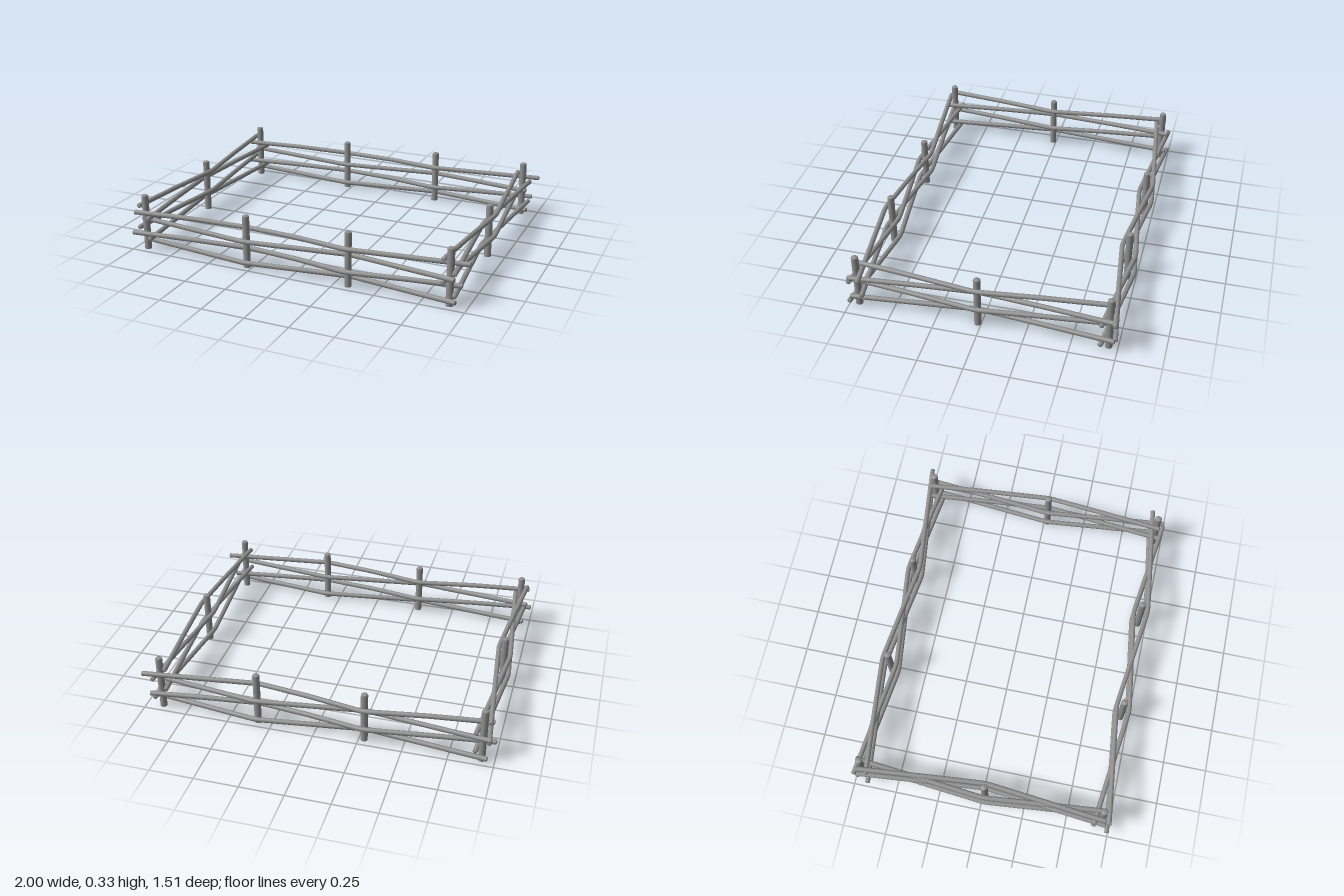
import * as THREE from 'three';
import { mergeGeometries } from 'three/addons/utils/BufferGeometryUtils.js';

const material = new THREE.MeshStandardMaterial({ color: 0x909090 });
const POST_R = 0.02, RAIL_R = 0.014;
const V = (x, y, z) => new THREE.Vector3(x, y, z);

// Upright round stake with a slightly softened top
function makePost(name, x, z, h) {
  const profile = [[0, 0], [POST_R, 0], [POST_R, 0], [POST_R, h - 0.008], [POST_R * 0.8, h - 0.002], [0, h]];
  const geometry = new THREE.LatheGeometry(profile.map(([r, y]) => new THREE.Vector2(r, y)), 14);
  const post = new THREE.Mesh(geometry, material);
  post.name = name;
  post.position.set(x, 0, z);
  return post;
}

// Bent pole through the nodes: straight spans, tight bends at the posts, low domed ends
function makeRail(name, nodes, dips) {
  const last = nodes.length - 1;
  const mids = nodes.slice(0, last).map((p, i) => p.clone().lerp(nodes[i + 1], 0.5));
  const points = [nodes[0]];
  for (let i = 0; i < last; i++) {
    points.push(mids[i]);
    if (i + 1 === last) break;
    const post = nodes[i + 1].clone();
    post.y -= dips[i];
    points.push(post.clone().lerp(mids[i], 0.07), post.clone().lerp(mids[i + 1], 0.07));
  }
  points.push(nodes[last]);
  const curve = new THREE.CatmullRomCurve3(points, false, 'catmullrom', 0.1);
  const parts = [new THREE.TubeGeometry(curve, 96, RAIL_R, 10)];
  for (const t of [0, 1]) {
    const out = curve.getTangentAt(t).multiplyScalar(t ? 1 : -1);
    const cap = new THREE.SphereGeometry(RAIL_R, 10, 4, 0, Math.PI * 2, 0, Math.PI / 2);
    cap.scale(1, 0.35, 1);
    cap.applyQuaternion(new THREE.Quaternion().setFromUnitVectors(V(0, 1, 0), out));
    const p = curve.getPointAt(t);
    cap.translate(p.x, p.y, p.z);
    parts.push(cap);
  }
  const rail = new THREE.Mesh(mergeGeometries(parts), material);
  rail.name = name;
  return rail;
}

// Long panel along x: four rails weaving in and out around two middle posts
function makeLongPanel(name, z) {
  const panel = new THREE.Group();
  panel.name = name;
  const rails = [
    { y: 0.041, from: -0.96, to: 0.945, dips: [0, 0] },
    { y: 0.103, from: -0.995, to: 0.955, dips: [0.006, 0.005] },
    { y: 0.167, from: -0.975, to: 0.935, dips: [0, 0] },
    { y: 0.231, from: -0.975, to: 0.993, dips: [0.011, 0] },
  ];
  rails.forEach(({ y, from, to, dips }, i) => {
    const s = i % 2 ? 0.04 : -0.04;
    const nodes = [from, -0.28, 0.332, to].map((x, k) => V(x, y, z + (k % 2 ? -s : s)));
    panel.add(makeRail('longRail' + (i + 1), nodes, dips));
  });
  panel.add(makePost('middlePost1', -0.28, z, 0.31), makePost('middlePost2', 0.332, z, 0.32));
  return panel;
}

// Short panel along z: four rails bent around one middle post
function makeSidePanel(name, x) {
  const panel = new THREE.Group();
  panel.name = name;
  const rails = [
    { y: 0.072, end: 0.732, dip: 0.001 },
    { y: 0.133, end: 0.722, dip: 0.006 },
    { y: 0.199, end: 0.74, dip: 0.006 },
    { y: 0.262, end: 0.715, dip: 0.007 },
  ];
  rails.forEach(({ y, end, dip }, i) => {
    const s = i % 2 ? -0.035 : 0.035;
    const nodes = [V(x + s, y, -end), V(x - s, y, 0.019), V(x + s, y, end)];
    panel.add(makeRail('sideRail' + (i + 1), nodes, [dip]));
  });
  panel.add(makePost('middlePost', x, 0.019, 0.317));
  return panel;
}

export function createModel() {
  const fence = new THREE.Group();
  fence.name = 'woodenFence';
  fence.add(makeLongPanel('frontPanel', 0.7), makeLongPanel('backPanel', -0.7));
  fence.add(makeSidePanel('leftPanel', 0.902), makeSidePanel('rightPanel', -0.929));
  // Corner posts
  for (const [side, x] of [['Left', 0.902], ['Right', -0.929]])
    for (const [end, z] of [['front', 0.7], ['back', -0.7]])
      fence.add(makePost(end + side + 'CornerPost', x, z, 0.33));
  return fence;
}
